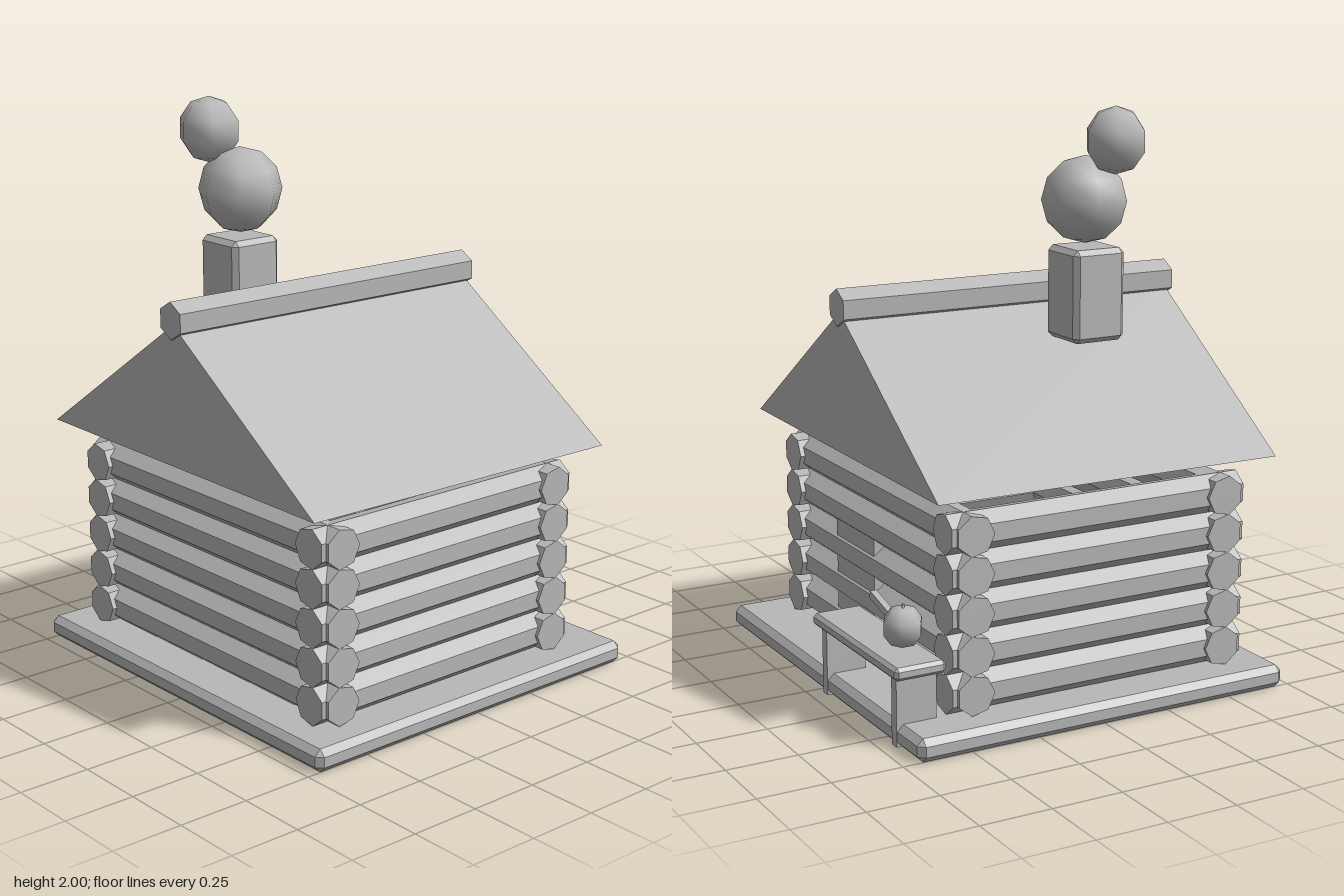
import * as THREE from 'three';
import { ConvexGeometry } from 'three/addons/geometries/ConvexGeometry.js';

const grey = new THREE.MeshStandardMaterial({ color: 0xb8b8b8 });
grey.name = 'plainGrey';

function part(parent, name, geometry, x = 0, y = 0, z = 0) {
  const mesh = new THREE.Mesh(geometry, grey);
  mesh.name = name;
  mesh.position.set(x, y, z);
  parent.add(mesh);
  return mesh;
}

function group(parent, name) {
  const g = new THREE.Group();
  g.name = name;
  parent.add(g);
  return g;
}

// Box with every edge chamfered by c
function chamferBox(w, h, d, c) {
  const points = [];
  for (const x of [-1, 1]) for (const y of [-1, 1]) for (const z of [-1, 1]) {
    for (let full = 0; full < 3; full++) {
      const inset = [c, c, c];
      inset[full] = 0;
      points.push(new THREE.Vector3(
        x * (w / 2 - inset[0]), y * (h / 2 - inset[1]), z * (d / 2 - inset[2])));
    }
  }
  return new ConvexGeometry(points);
}

// Faceted prism standing on the y axis, one corner towards +z
function prism(radius, length, sides) {
  const g = new THREE.CylinderGeometry(radius, radius, length, sides).toNonIndexed();
  g.computeVertexNormals();
  return g;
}

export function createModel() {
  const model = new THREE.Group();
  model.name = 'logCabin';

  part(model, 'basePlate', chamferBox(1.54, 0.08, 1.42, 0.022), 0, 0.04, 0.01);

  // Log walls: flat side of each log outwards, corner inwards
  const walls = [
    { name: 'frontWall', x: 0, z: 0.53, turn: Math.PI, length: 1.33 },
    { name: 'backWall', x: 0, z: -0.44, turn: 0, length: 1.33 },
    { name: 'leftWall', x: 0.59, z: 0.045, turn: -Math.PI / 2, length: 1.13 },
    { name: 'rightWall', x: -0.59, z: 0.045, turn: Math.PI / 2, length: 1.13 },
  ];
  for (const w of walls) {
    const wall = group(model, w.name);
    wall.position.set(w.x, 0, w.z);
    wall.rotation.y = w.turn;
    const log = prism(0.07, w.length, 7).rotateZ(Math.PI / 2);
    for (let row = 0; row < 5; row++) part(wall, 'log', log, 0, 0.15 + row * 0.135, 0);
  }

  // Door set into the back wall
  part(model, 'door', new THREE.BoxGeometry(0.3, 0.48, 0.06), 0.12, 0.32, -0.465);

  // Solid gable roof with a ridge log, turned slightly off square
  const roof = group(model, 'roof');
  roof.position.z = 0.047;
  roof.rotation.y = -0.017;
  const gable = new THREE.Shape([
    new THREE.Vector2(-0.735, 0.83), new THREE.Vector2(0.735, 0.83), new THREE.Vector2(0, 1.32)]);
  part(roof, 'gableRoof',
    new THREE.ExtrudeGeometry(gable, { depth: 1.28, bevelEnabled: false }), 0, 0, -0.64);
  part(roof, 'ridgeLog', prism(0.065, 1.3, 6).rotateX(Math.PI / 2), 0, 1.335, 0);

  // Chimney and smoke
  part(model, 'chimney', chamferBox(0.2, 0.32, 0.2, 0.018), -0.26, 1.36, 0.21);
  part(model, 'largeSmokePuff',
    new THREE.SphereGeometry(0.15, 7, 6).rotateY(Math.PI / 2), -0.26, 1.68, 0.205);
  part(model, 'smallSmokePuff',
    new THREE.SphereGeometry(0.115, 6, 5).rotateY(Math.PI / 2), -0.35, 1.885, 0.268);

  // Bench behind the cabin
  const bench = group(model, 'bench');
  bench.position.set(-0.327, 0, -0.63);
  part(bench, 'benchSeat', chamferBox(0.64, 0.045, 0.185, 0.012), 0, 0.2625, 0);
  for (const side of [-1, 1]) {
    part(bench, 'benchLeg', new THREE.BoxGeometry(0.036, 0.24, 0.145), side * 0.265, 0.125, 0);
  }

  // Round pot with a knob and a long handle
  const pot = group(model, 'pot');
  pot.position.set(-0.52, 0.378, -0.632);
  part(pot, 'potBody', new THREE.SphereGeometry(0.073, 6, 5).rotateY(Math.PI / 2));
  part(pot, 'potKnob', new THREE.ConeGeometry(0.018, 0.04, 3), -0.012, 0.064, -0.005);
  const handle = part(pot, 'potHandle', new THREE.BoxGeometry(0.18, 0.026, 0.024), 0.132, 0.024, 0);
  handle.rotation.z = 0.25;

  return model;
}
